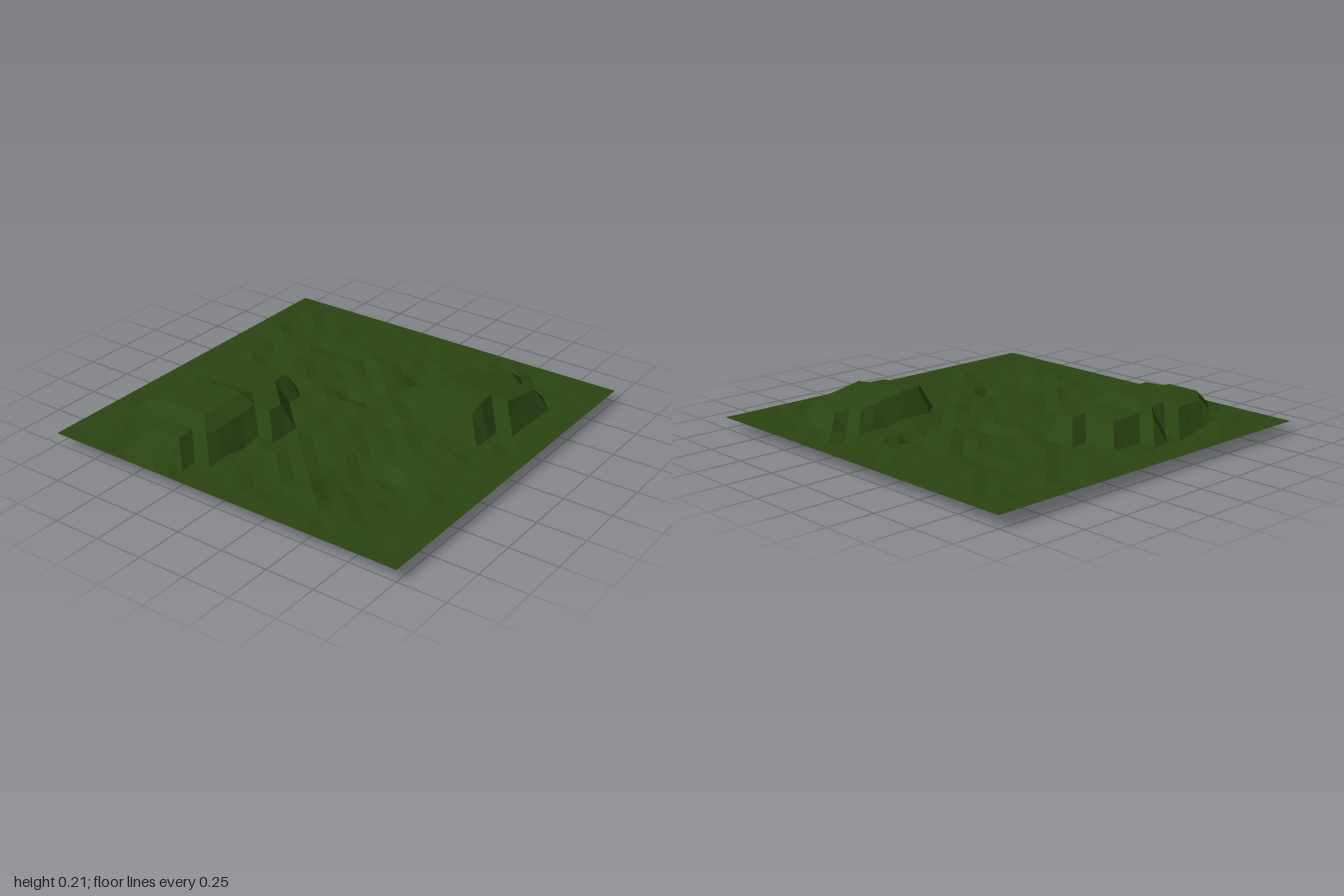
import * as THREE from 'three';

const CELLS = 22;
const BASE = 0.07;

// Plateau rims, in grid cells [x, z] from the centre
const backHill = [[-9, -6], [-9, -4], [-8, -3], [-6, -3], [-4, -2], [-3, -2], [-2, -3], [-2, -4],
  [0, -4], [0, -5], [-1, -6], [-1, -7], [-2, -7], [-3, -8], [-4, -7], [-5, -8], [-7, -8], [-8, -7]];
const frontHill = [[2, 5], [2, 7], [3, 7], [4, 8], [7, 8], [7, 7], [8, 6], [8, 5], [7, 4], [3, 4]];

// Small bumps and hollows: x, z, radius (cells), height
const bumps = [
  [-5, 5.5, 3.2, -0.042], [-4, 5, 1.5, -0.012], [6, 1, 1.3, -0.05], [2, -0.5, 1.2, -0.03],
  [6, -5, 2, -0.018], [4, -8, 2, -0.015], [8, -6, 1.3, 0.012], [-10, -5, 1.8, 0.035],
  [-8, -9, 2, 0.02], [-6, -9, 2, 0.02], [2, 3, 1.5, 0.02], [4, 3, 1.5, 0.03], [6, 3, 1.5, 0.02],
  [9, 5, 1.5, 0.02], [6, -1, 1.4, 0.012], [-6, 2, 1.5, -0.01],
];

// Signed distance to a rim: positive inside
function rimDistance(x, z, rim) {
  let best = Infinity, inside = false;
  rim.forEach(([ax, az], i) => {
    const [bx, bz] = rim[(i + 1) % rim.length];
    const dx = bx - ax, dz = bz - az;
    const t = THREE.MathUtils.clamp(((x - ax) * dx + (z - az) * dz) / (dx * dx + dz * dz), 0, 1);
    best = Math.min(best, Math.hypot(x - ax - t * dx, z - az - t * dz));
    if ((az > z) !== (bz > z) && x < ax + (z - az) * dx / dz) inside = !inside;
  });
  return inside || best < 0.01 ? best : -best;
}

function makeRandom(seed) {
  return () => {
    seed = (seed * 16807) % 2147483647;
    return seed / 2147483647;
  };
}

// Rolling ground, flat along the border
function groundHeight(x, z, noise) {
  const edge = THREE.MathUtils.clamp(11 - Math.max(Math.abs(x), Math.abs(z)), 0, 2) / 2;
  let y = BASE + (noise - 0.6) * 0.022 * edge;
  for (const [bx, bz, r, h] of bumps) {
    const f = Math.max(0, 1 - Math.hypot(x - bx, z - bz) / r);
    y += h * Math.min(1, f * 1.5) * Math.min(1, edge * 2);
  }
  return Math.max(0, y);
}

function createTerrain() {
  const geometry = new THREE.PlaneGeometry(2, 2, CELLS, CELLS).rotateX(-Math.PI / 2);
  const position = geometry.attributes.position;
  const random = makeRandom(4711);
  let lowest = Infinity;
  for (let i = 0; i < position.count; i++) {
    const x = Math.round(position.getX(i) * 11), z = Math.round(position.getZ(i) * 11);
    const noise = random();
    let y = groundHeight(x, z, noise);
    // Back hill: steep rim and a raised rear crown
    const a = rimDistance(x, z, backHill);
    if (a >= 0) {
      const crown = x <= -4 && x >= -7 && z <= -4 ? 0.035 : 0;
      y = 0.172 + 0.008 * Math.min(a, 2) + crown * Math.min(1, 0.6 + a * 0.4);
    }
    // Front hill: peak on its right, falling away to the left
    const b = rimDistance(x, z, frontHill);
    if (b >= 0) {
      const peak = 0.215 - 0.016 * Math.max(0, x - 4) - 0.025 * Math.max(0, 3 - x);
      y = peak - 0.01 * Math.max(0, z - 6);
    }
    y = Math.min(y, 0.22);
    position.setY(i, y);
    lowest = Math.min(lowest, y);
  }
  geometry.translate(0, -Math.min(lowest, 0.01), 0);
  geometry.computeVertexNormals();
  return geometry;
}

export function createModel() {
  const group = new THREE.Group();
  group.name = 'grassTerrain';
  const grass = new THREE.MeshStandardMaterial({ color: 0x2a4412, flatShading: true, side: THREE.DoubleSide });
  const terrain = new THREE.Mesh(createTerrain(), grass);
  terrain.name = 'ground';
  group.add(terrain);
  return group;
}
